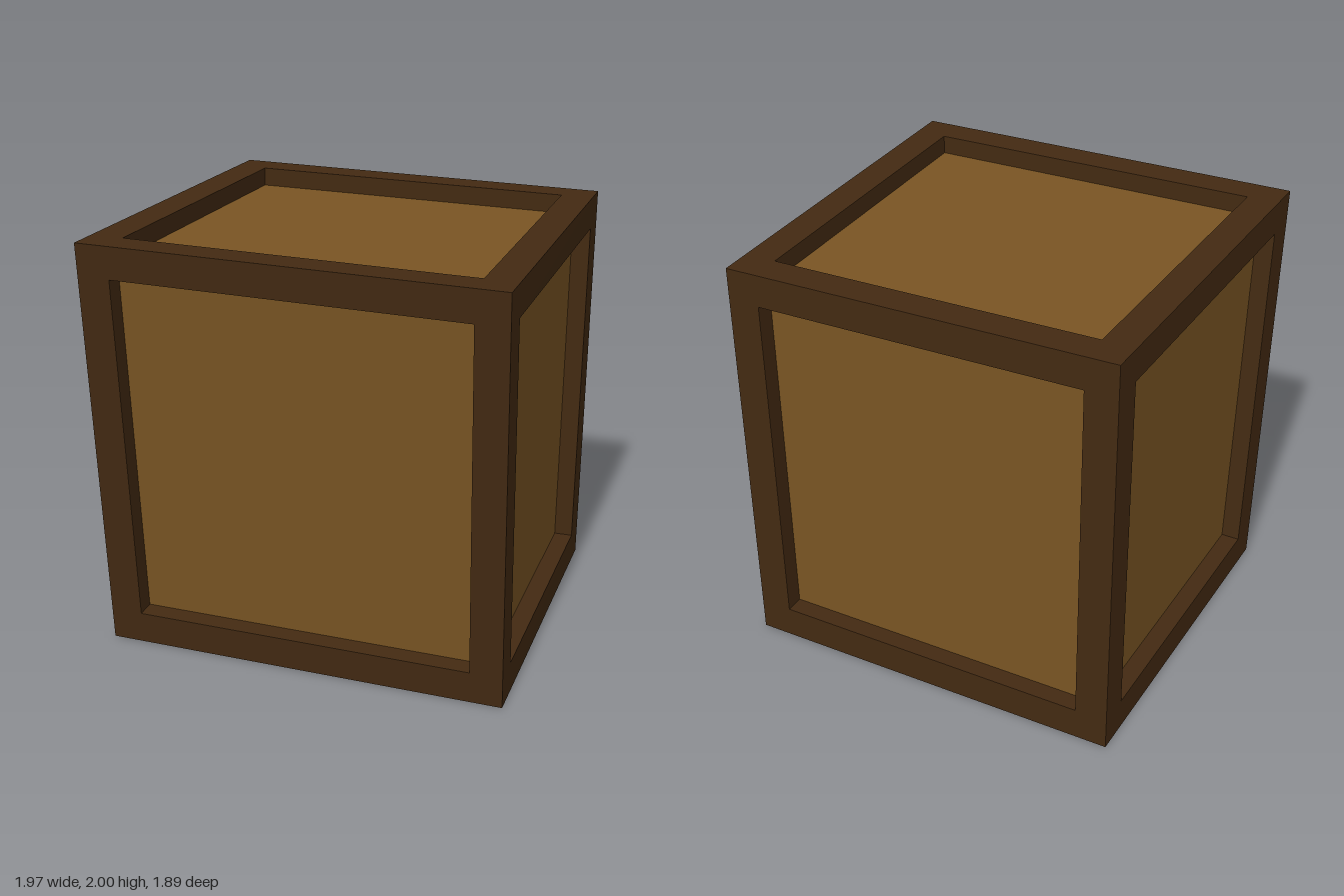
import * as THREE from 'three';

const BAR = 0.155;    // width of the frame bars
const RECESS = 0.09;  // depth of the panels behind the frame

// Crooked crate corners, index = x + 2 * y + 4 * z
const corners = [
  [-0.99, 0, -0.92], [0.872, 0, -0.945], [-0.99, 2, -0.92], [0.897, 1.975, -0.945],
  [-0.99, 0, 0.79], [0.957, 0, 0.79], [-0.99, 2, 0.948], [0.982, 1.975, 0.944],
].map((c) => new THREE.Vector3(...c));

// Corner loops, counter-clockwise from outside
const faces = {
  front: [4, 5, 7, 6],
  back: [1, 0, 2, 3],
  left: [5, 1, 3, 7],
  right: [0, 4, 6, 2],
  top: [6, 7, 3, 2],
  bottom: [0, 1, 5, 4],
};

function quadGeometry(quads) {
  const points = quads.flatMap(([a, b, c, d]) => [a, b, c, a, c, d]);
  const geometry = new THREE.BufferGeometry().setFromPoints(points);
  geometry.computeVertexNormals();
  return geometry;
}

// Offset every edge of a loop inwards by the same distance
function insetLoop(loop, distance) {
  return loop.map((p, i) => {
    const u = loop[(i + 1) % 4].clone().sub(p).normalize();
    const v = loop[(i + 3) % 4].clone().sub(p).normalize();
    const sine = u.clone().cross(v).length();
    return p.clone().addScaledVector(u.add(v), distance / sine);
  });
}

// Quads joining two loops of the same direction
const bridge = (a, b) => a.map((p, i) => {
  const j = (i + 1) % 4;
  return [p, a[j], b[j], b[i]];
});

export function createModel() {
  const crate = new THREE.Group();
  crate.name = 'crate';
  const frameWood = new THREE.MeshStandardMaterial({ color: 0x432a12, flatShading: true });
  const panelWood = new THREE.MeshStandardMaterial({ color: 0x7a5523, flatShading: true });

  for (const [name, ids] of Object.entries(faces)) {
    const outer = ids.map((i) => corners[i]);
    const rim = insetLoop(outer, BAR);
    const normal = outer[2].clone().sub(outer[0])
      .cross(outer[3].clone().sub(outer[1])).normalize();
    const floor = rim.map((p) => p.clone().addScaledVector(normal, -RECESS));

    // Frame bars with the inner walls of the recess
    const frame = new THREE.Mesh(
      quadGeometry([...bridge(outer, rim), ...bridge(rim, floor)]), frameWood);
    frame.name = `${name}Frame`;

    // Sunken panel
    const panel = new THREE.Mesh(quadGeometry([floor]), panelWood);
    panel.name = `${name}Panel`;
    crate.add(frame, panel);
  }
  return crate;
}
